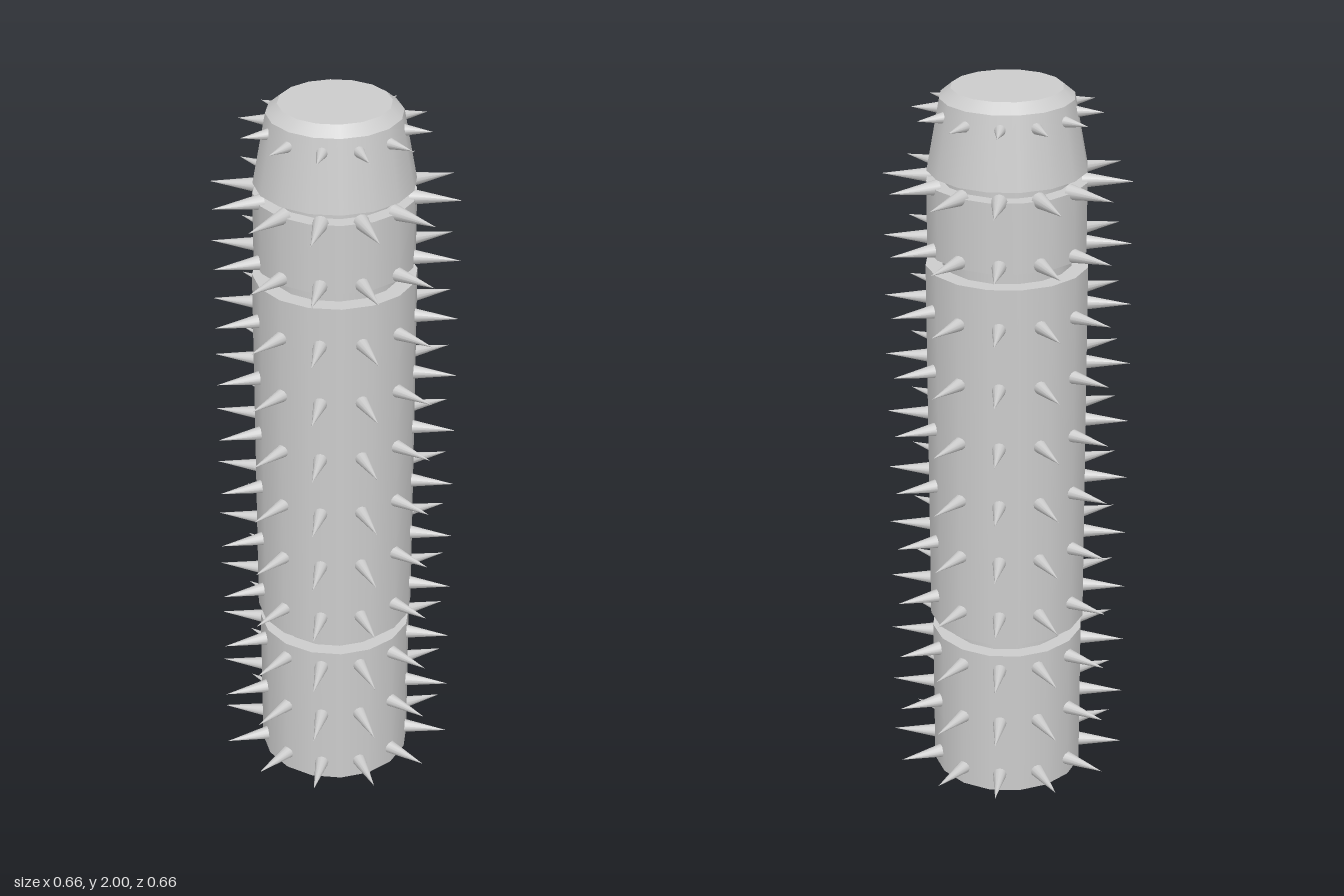
import * as THREE from 'three';

const SIDES = 16;
const SPIKES = 12;

export function createModel() {
  const model = new THREE.Group();
  const material = new THREE.MeshStandardMaterial({ color: 0xcccccc });

  // Adds one capped round section from y0 to y1
  function section(name, y0, y1, rBottom, rTop = rBottom) {
    const geometry = new THREE.CylinderGeometry(rTop, rBottom, y1 - y0, SIDES);
    const mesh = new THREE.Mesh(geometry, material);
    mesh.position.y = (y0 + y1) / 2;
    mesh.name = name;
    model.add(mesh);
  }

  // Stacked body with narrow grooves where the core shows
  section('core', 0.02, 1.8, 0.172);
  section('lowerBody', 0, 0.44, 0.212);
  section('middleBody', 0.48, 1.525, 0.217);
  section('upperBody', 1.567, 1.757, 0.212);
  section('head', 1.785, 1.975, 0.211, 0.176);
  section('headBevel', 1.975, 2, 0.176, 0.146);

  // Ring of cones pointing outwards
  function spikeRing(name, y, rBase, rTip, thickness) {
    const length = rTip - rBase;
    const geometry = new THREE.ConeGeometry(thickness, length, 12);
    geometry.rotateX(Math.PI / 2);
    geometry.translate(0, 0, rBase + length / 2);
    const ring = new THREE.Group();
    ring.name = name;
    ring.position.y = y;
    for (let i = 0; i < SPIKES; i++) {
      const spike = new THREE.Mesh(geometry, material);
      spike.name = 'spike';
      spike.rotation.y = (i / SPIKES) * Math.PI * 2;
      ring.add(spike);
    }
    model.add(ring);
  }

  // Evenly spaced rows up the body, and a smaller row on the head
  for (let row = 0; row < 11; row++) {
    spikeRing('bodySpikes', 0.053 + row * 0.1702, 0.195, 0.33, 0.021);
  }
  spikeRing('headSpikes', 1.937, 0.172, 0.25, 0.016);

  return model;
}
